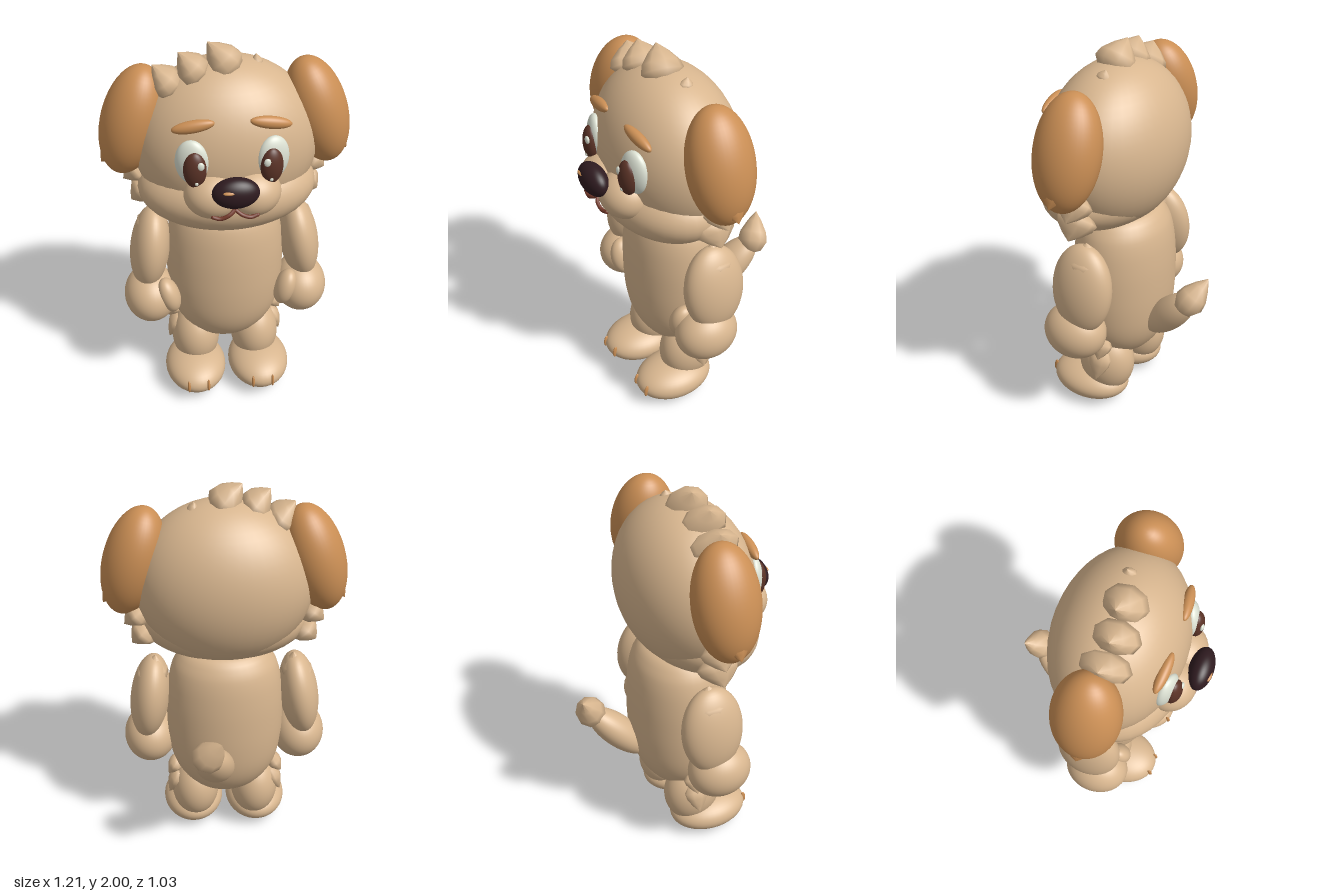
import * as THREE from 'three';

const mat = (name, color) => {
  const m = new THREE.MeshStandardMaterial({ color });
  m.name = name;
  return m;
};

export function createModel() {
  const model = new THREE.Group();
  model.name = 'puppy';
  const fur = mat('tan fur', 0xd8b68f);
  const orange = mat('orange fur', 0xcb8f55);
  const dark = mat('nose black', 0x2f1b20);
  const brown = mat('eye brown', 0x5b3327);
  const lip = mat('mouth brown', 0x74392a);
  const white = mat('eye white', 0xdde2d4);

  const sphere = new THREE.SphereGeometry(1, 40, 28);
  // Pointed tuft of fur, unit radius, tip at y = 1
  const tuftShape = new THREE.LatheGeometry(
    [[0, -0.4], [0.65, -0.28], [1, 0.02], [0.88, 0.32], [0.48, 0.68], [0, 1]]
      .map(([r, y]) => new THREE.Vector2(r, y)), 9);
  const up = new THREE.Vector3(0, 1, 0);

  function add(name, geometry, material, parent = model) {
    const mesh = new THREE.Mesh(geometry, material);
    mesh.name = name;
    parent.add(mesh);
    return mesh;
  }

  function ball(name, material, pos, radii, rot = [0, 0, 0]) {
    const mesh = add(name, sphere, material);
    mesh.position.set(...pos);
    mesh.scale.set(...radii);
    mesh.rotation.set(...rot);
    return mesh;
  }

  function tuft(name, material, base, tip, rx, rz) {
    const mesh = add(name, tuftShape, material);
    const dir = new THREE.Vector3(...tip).sub(new THREE.Vector3(...base));
    mesh.position.set(...base);
    mesh.scale.set(rx, dir.length(), rz);
    mesh.quaternion.setFromUnitVectors(up, dir.normalize());
    return mesh;
  }

  // Head, jaw and nose
  ball('head', fur, [0, 1.495, 0.05], [0.45, 0.425, 0.327]);
  ball('jaw', fur, [0, 1.28, 0.1], [0.437, 0.21, 0.3]);
  ball('nose', dark, [0, 1.437, 0.452], [0.11, 0.077, 0.06]);
  ball('noseShine', orange, [-0.033, 1.465, 0.498], [0.03, 0.009, 0.012]);

  // Torso: egg profile flattened front to back
  const profile = [[0, 0.265], [0.09, 0.28], [0.175, 0.325], [0.245, 0.41], [0.285, 0.51],
    [0.303, 0.64], [0.306, 0.78], [0.3, 0.9], [0.283, 1.01], [0.25, 1.09], [0.18, 1.15], [0, 1.18]];
  const curve = new THREE.SplineCurve(profile.map(([r, y]) => new THREE.Vector2(r, y)));
  const torsoPoints = curve.getPoints(44);
  torsoPoints.forEach((p) => { p.x = Math.max(0, p.x); });
  const torso = add('torso', new THREE.LatheGeometry(torsoPoints, 40), fur);
  torso.scale.z = 0.83;
  torso.position.z = 0.012;

  // Tufts along the crown
  tuft('crownTuft', fur, [0.005, 1.89, 0.07], [-0.085, 2.0, 0.05], 0.09, 0.11);
  tuft('crownTuft', fur, [-0.145, 1.87, 0.08], [-0.22, 1.965, 0.07], 0.08, 0.115);
  tuft('crownTuft', fur, [-0.265, 1.81, 0.07], [-0.34, 1.905, 0.06], 0.075, 0.125);
  tuft('crownTuft', fur, [0.15, 1.875, 0.035], [0.145, 1.92, 0.025], 0.03, 0.04);

  // Tail
  const tail = ball('tail', fur, [0.065, 0.62, -0.3], [0.098, 0.21, 0.085]);
  tail.quaternion.setFromUnitVectors(up, new THREE.Vector3(0.07, 0.27, -0.25).normalize());
  tuft('tailTip', fur, [0.11, 0.76, -0.43], [0.035, 0.89, -0.5], 0.083, 0.08);

  // Mirrored parts
  for (const s of [1, -1]) {
    // Muzzle and mouth
    ball('muzzle', fur, [s * 0.09, 1.365, 0.33], [0.14, 0.117, 0.13]);
    const mouthPath = new THREE.CatmullRomCurve3([
      [0, 1.335, 0.435], [0.03, 1.315, 0.452], [0.07, 1.298, 0.45], [0.103, 1.305, 0.444],
    ].map(([x, y, z]) => new THREE.Vector3(s * x, y, z)));
    add('mouth', new THREE.TubeGeometry(mouthPath, 16, 0.01, 8), lip);
    ball('mouthEnd', lip, [s * 0.103, 1.305, 0.444], [0.01, 0.01, 0.01]);

    // Eyes and brows
    ball('eyeWhite', white, [s * 0.187, 1.54, 0.332], [0.08, 0.113, 0.043], [0, s * 0.3, 0]);
    ball('pupil', brown, [s * 0.177, 1.518, 0.365], [0.054, 0.092, 0.04], [0, s * 0.2, 0]);
    ball('eyeShine', white, [s * 0.152, 1.552, 0.397], [0.017, 0.021, 0.01]);
    ball('eyeShine', white, [s * 0.172, 1.462, 0.395], [0.009, 0.011, 0.008]);
    ball('brow', orange, [s * 0.178, 1.71, 0.308], [0.1, 0.03, 0.028], [0, s * 0.1, -s * 0.19]);

    // Ears with a ragged lower edge
    ball('ear', orange, [s * 0.445, 1.618, 0.04], [0.148, 0.285, 0.165], [0, 0, s * 0.28]);
    tuft('earTuft', orange, [s * 0.545, 1.48, 0.04], [s * 0.605, 1.395, 0.04], 0.05, 0.07);
    tuft('earTuft', orange, [s * 0.51, 1.43, 0.03], [s * 0.545, 1.36, 0.04], 0.04, 0.06);

    // Cheek fluff
    tuft('cheekTuft', fur, [s * 0.425, 1.35, 0.02], [s * 0.505, 1.28, 0.02], 0.065, 0.095);
    tuft('cheekTuft', fur, [s * 0.395, 1.245, 0.035], [s * 0.472, 1.162, 0.035], 0.075, 0.11);

    // Arms
    ball('arm', fur, [s * 0.392, 0.85, 0.018], [0.102, 0.24, 0.165], [0, 0, s * 0.14]);
    tuft('shoulderTuft', fur, [s * 0.365, 1.0, 0.01], [s * 0.355, 1.1, 0.01], 0.075, 0.1);
    tuft('shoulderTuft', fur, [s * 0.405, 1.0, 0.01], [s * 0.445, 0.91, 0.01], 0.05, 0.09);
    ball('hand', fur, [s * 0.4, 0.582, 0.062], [0.14, 0.148, 0.168]);
    ball('thumb', fur, [s * 0.307, 0.625, 0.15], [0.056, 0.104, 0.07], [0, 0, s * -0.28 * -1 * -1]);

    // Legs
    ball('leg', fur, [s * 0.163, 0.25, 0.027], [0.13, 0.185, 0.155]);
    tuft('legTuft', fur, [s * 0.26, 0.33, 0.005], [s * 0.31, 0.21, 0.005], 0.045, 0.07);
    tuft('legTuft', fur, [s * 0.265, 0.43, -0.01], [s * 0.31, 0.35, -0.01], 0.04, 0.06);

    // Feet with toe lines
    ball('foot', fur, [s * 0.175, 0.105, 0.122], [0.165, 0.102, 0.218]);
    for (const dx of [-0.053, 0.053]) {
      ball('toeLine', orange, [s * 0.175 + dx, 0.115, 0.325], [0.008, 0.036, 0.014], [-0.12, 0, 0]);
    }
  }

  // Line from nose to mouth
  const seam = add('mouthSeam', new THREE.CapsuleGeometry(0.01, 0.045, 4, 8), lip);
  seam.position.set(0, 1.352, 0.435);

  return model;
}
